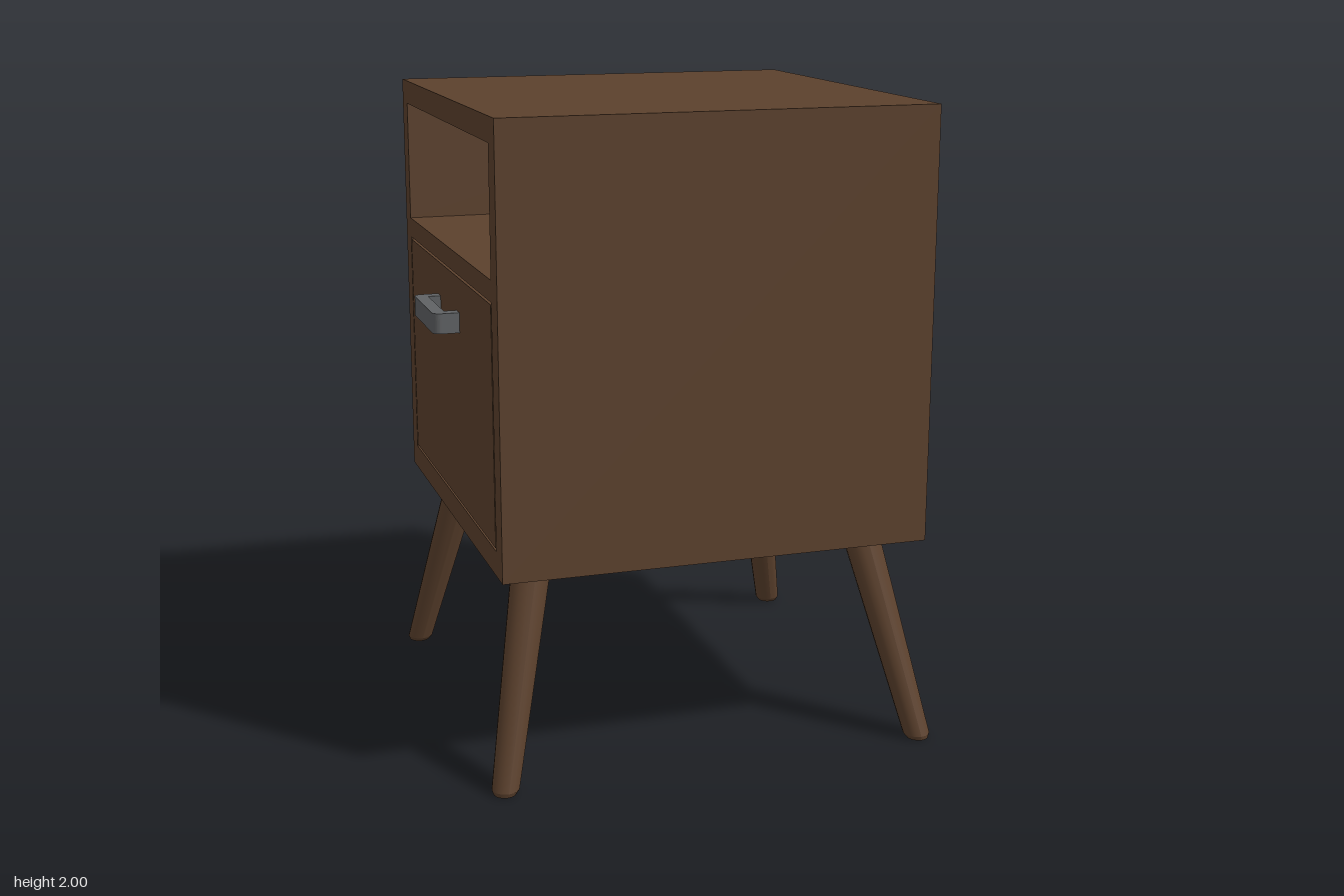
import * as THREE from 'three';

const X0 = -0.655, X1 = 0.685, DEPTH = X1 - X0; // cabinet runs along x, open at both ends

function rect(path, w, y0, y1) {
  path.moveTo(-w, y0);
  path.lineTo(w, y0);
  path.lineTo(w, y1);
  path.lineTo(-w, y1);
  path.closePath();
  return path;
}

// Tapered leg with level ends and a bevelled foot, leaning from foot to top
function makeLeg(foot, top, height) {
  const profile = [[0, 0], [0.034, 0], [0.034, 0], [0.042, 0.014], [0.042, 0.014], [0.061, height], [0.061, height], [0, height]]
    .map(([r, y]) => new THREE.Vector2(r, y));
  const geo = new THREE.LatheGeometry(profile, 16);
  const p = geo.attributes.position;
  for (let i = 0; i < p.count; i++) {
    const t = p.getY(i) / height;
    p.setX(i, p.getX(i) + foot[0] + (top[0] - foot[0]) * t);
    p.setZ(i, p.getZ(i) + foot[1] + (top[1] - foot[1]) * t);
  }
  geo.computeVertexNormals();
  return geo;
}

export function createModel() {
  const group = new THREE.Group();
  const wood = new THREE.MeshStandardMaterial({ color: 0x5c412d });
  wood.name = 'walnutWood';
  const metal = new THREE.MeshStandardMaterial({ color: 0x606264 });
  metal.name = 'greyMetal';

  const add = (name, geo, mat) => {
    const mesh = new THREE.Mesh(geo, mat);
    mesh.name = name;
    group.add(mesh);
    return mesh;
  };

  // Cabinet shell: open shelf above, drawer bay below
  const shell = rect(new THREE.Shape(), 0.671, 0.66, 2);
  shell.holes.push(rect(new THREE.Path(), 0.597, 1.54, 1.925));
  shell.holes.push(rect(new THREE.Path(), 0.597, 0.737, 1.476));
  const shellGeo = new THREE.ExtrudeGeometry(shell, { depth: DEPTH, bevelEnabled: false });
  shellGeo.rotateY(Math.PI / 2).translate(X0, 0, 0);
  add('cabinetBody', shellGeo, wood);

  // Drawer, with a fine gap all round
  const drawer = add('drawer', new THREE.BoxGeometry(DEPTH, 0.723, 1.178), wood);
  drawer.position.set((X0 + X1) / 2, 1.1065, 0);

  // Bracket handle with rounded outer corners
  const hx = -0.735, hz = 0.16, r = 0.024, t = 0.04;
  const bracket = new THREE.Shape();
  bracket.moveTo(X0, -hz);
  bracket.lineTo(X0, -hz + t);
  bracket.lineTo(hx + t, -hz + t);
  bracket.lineTo(hx + t, hz - t);
  bracket.lineTo(X0, hz - t);
  bracket.lineTo(X0, hz);
  bracket.lineTo(hx + r, hz);
  bracket.absarc(hx + r, hz - r, r, Math.PI / 2, Math.PI, false);
  bracket.lineTo(hx, -hz + r);
  bracket.absarc(hx + r, -hz + r, r, Math.PI, Math.PI * 1.5, false);
  bracket.closePath();
  const handleGeo = new THREE.ExtrudeGeometry(bracket, { depth: 0.063, bevelEnabled: false, curveSegments: 4 });
  handleGeo.rotateX(-Math.PI / 2).translate(0, 1.298, 0);
  add('drawerHandle', handleGeo, metal);

  // Four splayed legs
  const cx = (X0 + X1) / 2;
  for (const sx of [-1, 1]) {
    for (const sz of [-1, 1]) {
      const name = (sz > 0 ? 'front' : 'back') + (sx > 0 ? 'Left' : 'Right') + 'Leg';
      add(name, makeLeg([cx + sx * 0.673, sz * 0.661], [cx + sx * 0.532, sz * 0.47], 0.661), wood);
    }
  }
  return group;
}
